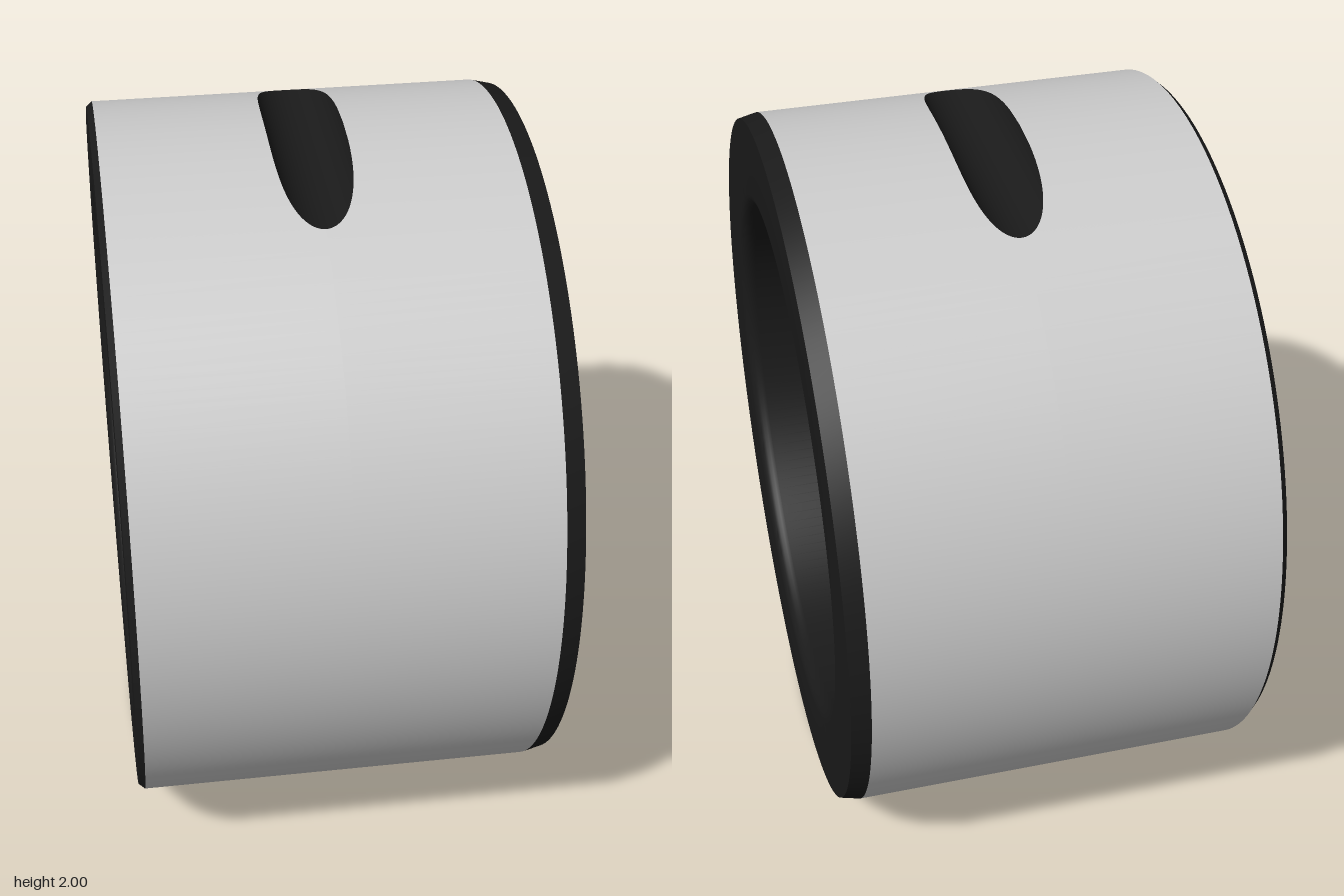
import * as THREE from 'three';
import { toCreasedNormals } from 'three/addons/utils/BufferGeometryUtils.js';

const grey = new THREE.MeshStandardMaterial({ color: 0xcccccc });
const dark = new THREE.MeshStandardMaterial({ color: 0x1a1a1a });

// Ring axis is x, outer radius 1; the slots are round cuts running along z.
const LEFT = -0.565, RIGHT = 0.53;
const SLOT_X = -0.01, SLOT_Y = 1.015, SLOT_R = 0.107;
const PHI_MAX = Math.acos((SLOT_Y - 1) / SLOT_R);
const slotHeight = (phi) => SLOT_Y - SLOT_R * Math.cos(phi);
const slotAngle = (phi) => Math.acos(Math.min(1, slotHeight(phi)));

// Indexed surface from rows of { p, n }, two triangles per cell
function gridGeometry(rows) {
  const pos = [], nor = [], idx = [], cols = rows[0].length;
  rows.forEach((row, i) => row.forEach(({ p, n }, j) => {
    pos.push(...p);
    nor.push(...n);
    if (i && j) {
      const d = i * cols + j, c = d - 1, b = d - cols, a = b - 1;
      idx.push(a, c, b, b, c, d);
    }
  }));
  const g = new THREE.BufferGeometry();
  g.setAttribute('position', new THREE.Float32BufferAttribute(pos, 3));
  g.setAttribute('normal', new THREE.Float32BufferAttribute(nor, 3));
  g.setIndex(idx);
  return g;
}

// Half turn of the outer wall: slot samples around the top, plain samples down each side
function wallRows() {
  const rows = [], N = 32, M = 72;
  for (let i = -N; i <= N; i++) {
    const phi = (Math.abs(i) / N) * PHI_MAX;
    // from the tip of the slot (phi 0) over the top (phi max) to the other tip
    const f = PHI_MAX - phi;
    rows.push({ t: Math.sign(i) * slotAngle(f), w: SLOT_R * Math.sin(f) });
  }
  const tip = slotAngle(0);
  for (let i = 1; i <= M; i++) {
    rows.push({ t: tip + (i / M) * (Math.PI - 2 * tip), w: 0 });
  }
  return rows;
}

function wallGeometry(side) {
  return gridGeometry(wallRows().map(({ t, w }) => {
    const n = [0, Math.cos(t), Math.sin(t)];
    const span = side < 0 ? [LEFT, SLOT_X - w] : [SLOT_X + w, RIGHT];
    return span.map((x) => ({ p: [x, n[1], n[2]], n }));
  }));
}

// Curved floor of a slot
function slotGeometry() {
  const rows = [], N = 32;
  for (let i = -N; i <= N; i++) {
    const phi = (i / N) * PHI_MAX;
    const x = SLOT_X + SLOT_R * Math.sin(phi), y = slotHeight(phi);
    const z = Math.sin(slotAngle(phi));
    const n = [-Math.sin(phi), Math.cos(phi), 0];
    rows.push([z, -z].map((e) => ({ p: [x, y, e], n })));
  }
  return gridGeometry(rows);
}

export function createModel() {
  const model = new THREE.Group();
  model.name = 'slottedRing';
  const ring = new THREE.Group();
  ring.name = 'ring';
  ring.position.y = 1;
  model.add(ring);

  const add = (parent, name, geometry, material) => {
    const mesh = new THREE.Mesh(geometry, material);
    mesh.name = name;
    parent.add(mesh);
  };

  // Outer wall and slots: two identical halves, turned about the ring axis
  ['upper', 'lower'].forEach((name, k) => {
    const half = new THREE.Group();
    half.name = name + 'Half';
    half.rotation.x = k * Math.PI;
    add(half, 'outerWallLeft', wallGeometry(-1), grey);
    add(half, 'outerWallRight', wallGeometry(1), grey);
    add(half, 'slot', slotGeometry(), dark);
    ring.add(half);
  });

  // End chamfers, end faces and the bore with eased edges
  const profile = [[1, RIGHT], [0.988, 0.582], [0.775, 0.582]];
  const bore = 0.735, ease = 0.04, end = 0.582 - ease;
  for (let i = 1; i <= 6; i++) {
    const a = (i / 6) * Math.PI / 2;
    profile.push([bore + ease * (1 - Math.sin(a)), end + ease * Math.cos(a)]);
  }
  for (let i = 6; i >= 0; i--) {
    const a = (i / 6) * Math.PI / 2;
    profile.push([bore + ease * (1 - Math.sin(a)), -end - ease * Math.cos(a)]);
  }
  profile.push([0.985, -0.582], [1, LEFT]);
  const lathe = new THREE.LatheGeometry(profile.map(([r, x]) => new THREE.Vector2(r, x)), 160);
  lathe.rotateZ(-Math.PI / 2);
  add(ring, 'endsAndBore', toCreasedNormals(lathe, 0.32), dark);

  return model;
}
